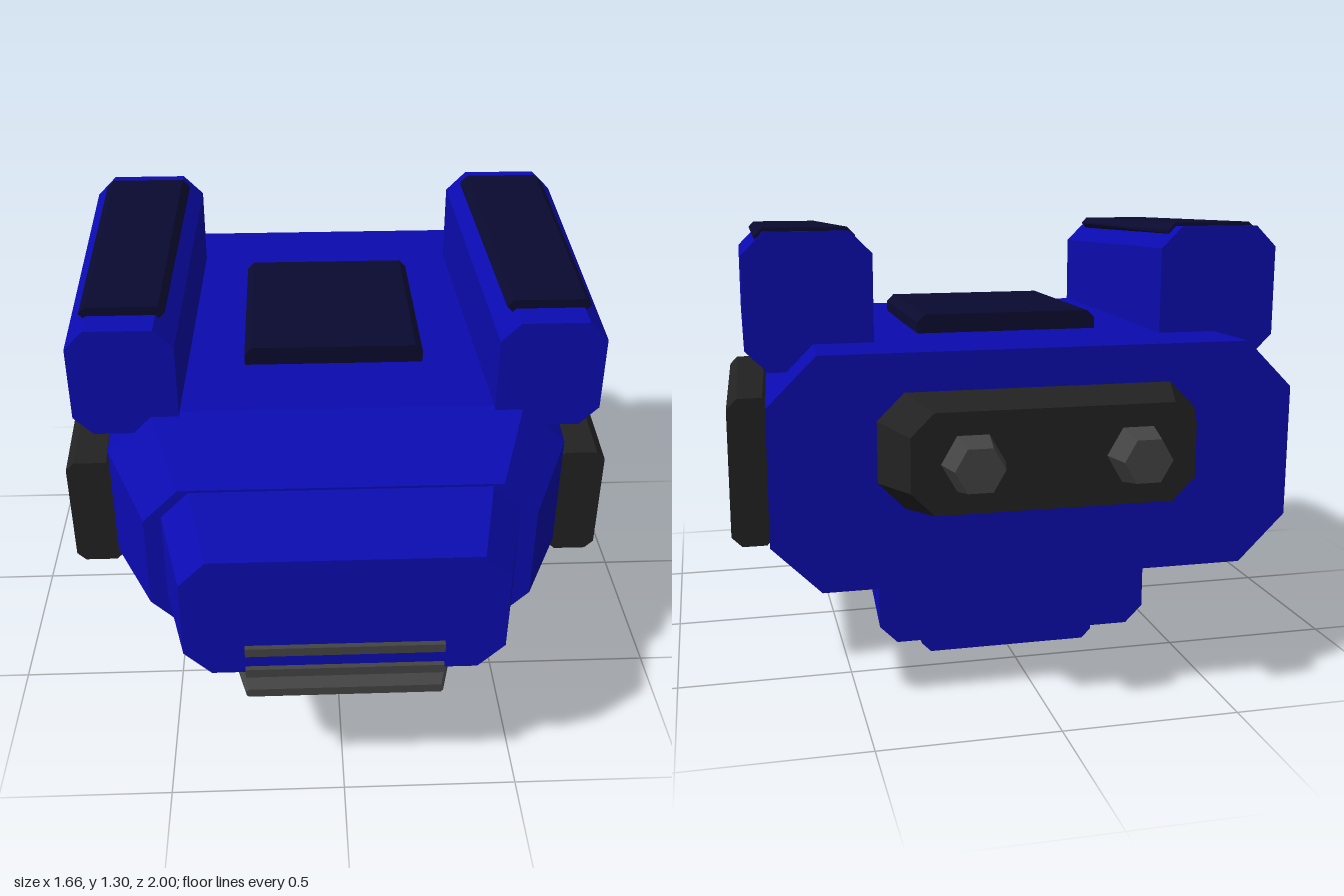
import * as THREE from 'three';

const paint = (color) => new THREE.MeshStandardMaterial({ color, flatShading: true });
const BLUE = paint(0x0b0bb0), NAVY = paint(0x0a0a30), DARK = paint(0x222222), GREY = paint(0x444444);

// Chamfered-rectangle outline, counter-clockwise seen from +z
function octagon([z, x0, x1, y0, y1, c]) {
  return [
    [x0 + c, y0, z], [x1 - c, y0, z], [x1, y0 + c, z], [x1, y1 - c, z],
    [x1 - c, y1, z], [x0 + c, y1, z], [x0, y1 - c, z], [x0, y0 + c, z],
  ];
}

// Closed hull through sections [z, x0, x1, y0, y1, chamfer] listed back to front
function hull(name, material, sections) {
  const rings = sections.map(octagon);
  const pos = [];
  const tri = (a, b, c) => pos.push(...a, ...b, ...c);
  for (let s = 0; s < rings.length - 1; s++) {
    const A = rings[s], B = rings[s + 1];
    for (let i = 0; i < 8; i++) {
      const j = (i + 1) % 8;
      tri(A[i], A[j], B[j]);
      tri(A[i], B[j], B[i]);
    }
  }
  const back = rings[0], front = rings[rings.length - 1];
  for (let i = 1; i < 7; i++) {
    tri(front[0], front[i], front[i + 1]);
    tri(back[0], back[i + 1], back[i]);
  }
  const geo = new THREE.BufferGeometry();
  geo.setAttribute('position', new THREE.Float32BufferAttribute(pos, 3));
  geo.computeVertexNormals();
  const mesh = new THREE.Mesh(geo, material);
  mesh.name = name;
  return mesh;
}

// Hull symmetric about x = 0: sections [z, halfWidth, y0, y1, chamfer]
const centred = (name, material, sections) =>
  hull(name, material, sections.map(([z, w, y0, y1, c]) => [z, -w, w, y0, y1, c]));

// Hull on one side, mirrored by reflecting the section limits
const sided = (name, material, side, sections) =>
  hull(name, material, sections.map(([z, a, b, y0, y1, c]) =>
    side > 0 ? [z, a, b, y0, y1, c] : [z, -b, -a, y0, y1, c]));

export function createModel() {
  const g = new THREE.Group();
  g.name = 'armouredBody';

  // Main body with sloping shoulders, and the narrower nose
  g.add(centred('mainBody', BLUE, [
    [-0.75, 0.735, 0.345, 0.99, 0.135],
    [0.48, 0.665, 0.36, 0.975, 0.13],
    [0.74, 0.545, 0.4, 0.885, 0.1],
  ]));
  g.add(centred('nose', BLUE, [
    [0.72, 0.5, 0.448, 0.882, 0.08],
    [0.985, 0.435, 0.452, 0.83, 0.073],
  ]));

  // Roof hatch
  g.add(centred('roofHatch', NAVY, [
    [-0.38, 0.27, 0.96, 1.04, 0.022],
    [0.22, 0.27, 0.96, 1.035, 0.022],
  ]));

  // Stepped underside
  g.add(centred('undersideCollar', NAVY, [
    [-0.48, 0.435, 0.29, 0.42, 0.05],
    [0.5, 0.4, 0.302, 0.41, 0.045],
  ]));
  g.add(centred('undersideBlock', BLUE, [
    [-0.48, 0.41, 0.073, 0.36, 0.052],
    [0.4, 0.355, 0.1, 0.34, 0.04],
  ]));
  g.add(centred('undersidePlate', BLUE, [
    [-0.4, 0.27, 0, 0.13, 0.028],
    [0.25, 0.27, 0, 0.13, 0.028],
  ]));

  // Rear engine block
  g.add(centred('engineBlock', DARK, [
    [-0.915, 0.385, 0.59, 0.86, 0.062],
    [-0.74, 0.45, 0.565, 0.885, 0.075],
  ]));

  // Front grille bars and the lower lip
  [0.533, 0.459].forEach((y) => {
    const bar = new THREE.Mesh(new THREE.BoxGeometry(0.54, 0.027, 0.06), GREY);
    bar.name = 'grilleBar';
    bar.position.set(0, y, 0.97);
    g.add(bar);
  });
  g.add(centred('lowerLip', GREY, [
    [0.885, 0.3, 0.372, 0.402, 0.006],
    [1.0, 0.27, 0.374, 0.4, 0.006],
  ]));

  for (const side of [1, -1]) {
    const label = side > 0 ? 'left' : 'right';
    // Shoulder pod and its dark lid
    g.add(sided(label + 'Pod', BLUE, side, [
      [-0.535, 0.42, 0.775, 0.912, 1.295, 0.062],
      [0.495, 0.45, 0.75, 0.917, 1.245, 0.055],
    ]));
    g.add(sided(label + 'PodLid', NAVY, side, [
      [-0.48, 0.46, 0.735, 1.25, 1.303, 0.022],
      [0.41, 0.477, 0.715, 1.238, 1.275, 0.017],
    ]));
    // Side armour panel
    g.add(sided(label + 'SidePanel', DARK, side, [
      [-0.48, 0.7, 0.83, 0.402, 0.833, 0.03],
      [0.47, 0.65, 0.795, 0.445, 0.8, 0.025],
    ]));
    // Hexagonal thruster
    const thruster = new THREE.Mesh(new THREE.CylinderGeometry(0.088, 0.066, 0.1, 6), GREY);
    thruster.name = label + 'Thruster';
    thruster.geometry.rotateY(Math.PI / 6).rotateX(Math.PI / 2);
    thruster.position.set(side * 0.222, 0.725, -0.95);
    g.add(thruster);
  }
  return g;
}
